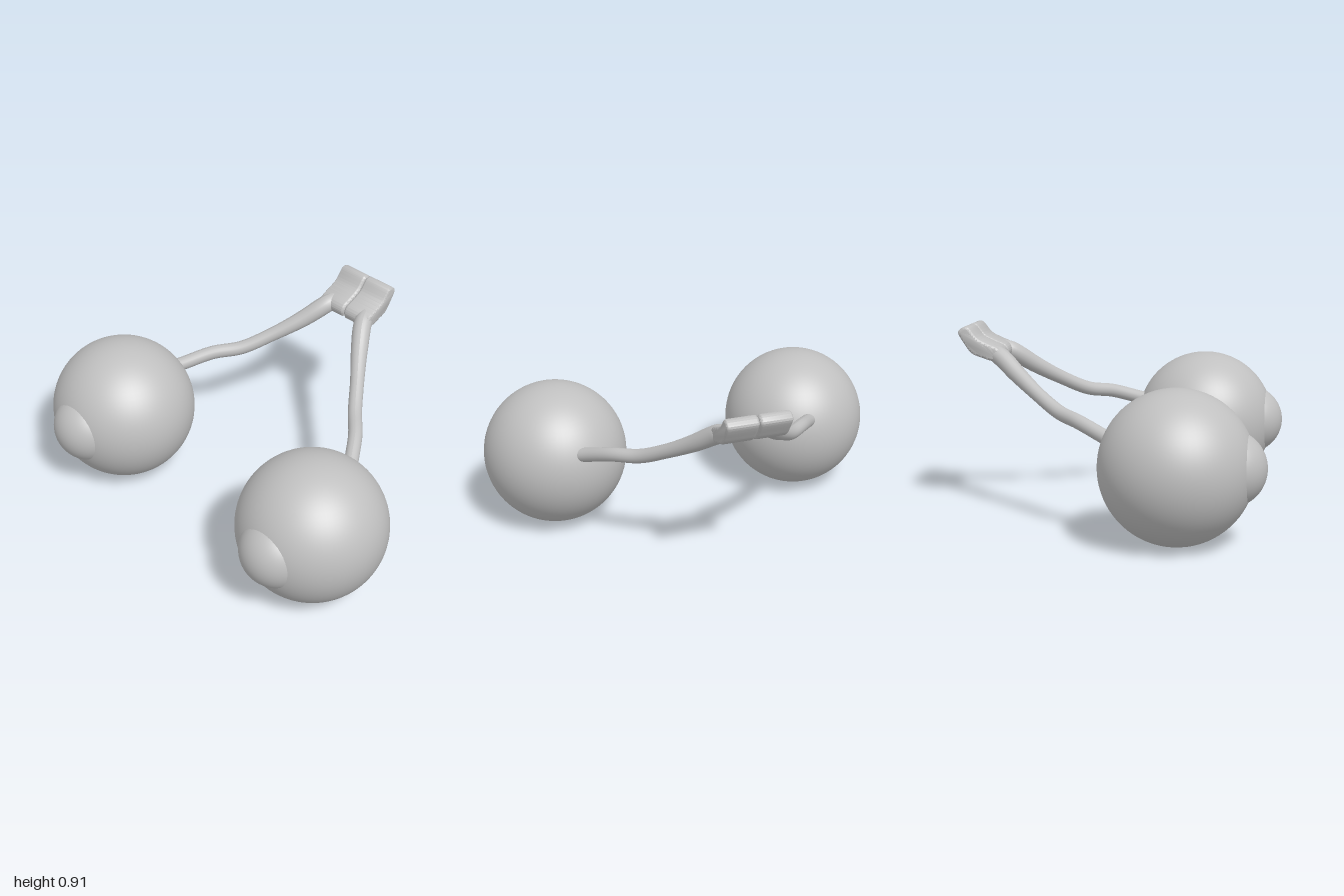
import * as THREE from 'three';
import { toCreasedNormals } from 'three/addons/utils/BufferGeometryUtils.js';

const grey = new THREE.MeshStandardMaterial({ color: 0xc0c0c0 });
grey.name = 'plain grey';

function add(parent, name, geometry) {
  const mesh = new THREE.Mesh(geometry, grey);
  mesh.name = name;
  parent.add(mesh);
  return mesh;
}

// Stalk from the back of the eyeball to the bridge, thickening towards the bridge
function nerveGeometry(side) {
  const path = new THREE.CatmullRomCurve3([
    [0.63, 0.45, 0.09], [0.575, 0.474, 0.02], [0.485, 0.52, -0.11], [0.385, 0.545, -0.22],
    [0.29, 0.61, -0.34], [0.195, 0.69, -0.46], [0.125, 0.765, -0.56], [0.095, 0.80, -0.63],
  ].map(([x, y, z]) => new THREE.Vector3(side * x, y, z)));
  const rings = 64, sides = 20;
  const geo = new THREE.TubeGeometry(path, rings, 1, sides);
  const pos = geo.attributes.position, v = new THREE.Vector3();
  for (let i = 0; i <= rings; i++) {
    const t = i / rings, centre = path.getPointAt(t);
    const radius = 0.034 + 0.011 * THREE.MathUtils.smoothstep(t, 0.55, 0.9)
      - 0.012 * THREE.MathUtils.smoothstep(t, 0.92, 1);
    for (let j = 0; j <= sides; j++) {
      const k = i * (sides + 1) + j;
      v.fromBufferAttribute(pos, k).sub(centre).multiplyScalar(radius).add(centre);
      pos.setXYZ(k, v.x, v.y, v.z);
    }
  }
  geo.computeVertexNormals();
  return geo;
}

// Half of the bridge: a bent, rounded side profile extruded across x
function bridgeGeometry(side) {
  const bevel = 0.014, width = 0.156;
  const profile = [
    [0.56, 0.75], [0.60, 0.747], [0.65, 0.762], [0.70, 0.782], [0.735, 0.825], [0.766, 0.878],
    [0.755, 0.90], [0.735, 0.911], [0.71, 0.905], [0.67, 0.858], [0.62, 0.832], [0.57, 0.81], [0.553, 0.78],
  ].map(([s, y]) => new THREE.Vector2(s, y));
  const shape = new THREE.Shape();
  shape.moveTo(profile[0].x, profile[0].y);
  shape.splineThru([...profile.slice(1), profile[0]]);
  let geo = new THREE.ExtrudeGeometry(shape, {
    depth: width - 2 * bevel, curveSegments: 48, bevelEnabled: true,
    bevelThickness: bevel, bevelSize: bevel, bevelOffset: -bevel, bevelSegments: 4,
  });
  geo.translate(0, 0, bevel + 0.001);
  geo.rotateY(Math.PI / 2);
  if (side < 0) geo.translate(-width - 0.002, 0, 0);
  return toCreasedNormals(geo, 0.8);
}

export function createModel() {
  const model = new THREE.Group();
  model.name = 'pair of eyes with optic nerves';
  for (const side of [1, -1]) {
    const half = new THREE.Group();
    half.name = side > 0 ? 'leftEye' : 'rightEye';
    model.add(half);
    add(half, 'eyeball', new THREE.SphereGeometry(0.355, 64, 40)).position.set(side * 0.645, 0.357, 0.36);
    // Bulging cornea, a spherical cap facing forward
    const cap = new THREE.SphereGeometry(0.176, 40, 16, 0, Math.PI * 2, 0, 1.1);
    cap.rotateX(Math.PI / 2);
    add(half, 'cornea', cap).position.set(side * 0.645, 0.36, 0.589);
    add(half, 'opticNerve', nerveGeometry(side));
    add(half, 'nerveBridge', bridgeGeometry(side));
  }
  return model;
}
